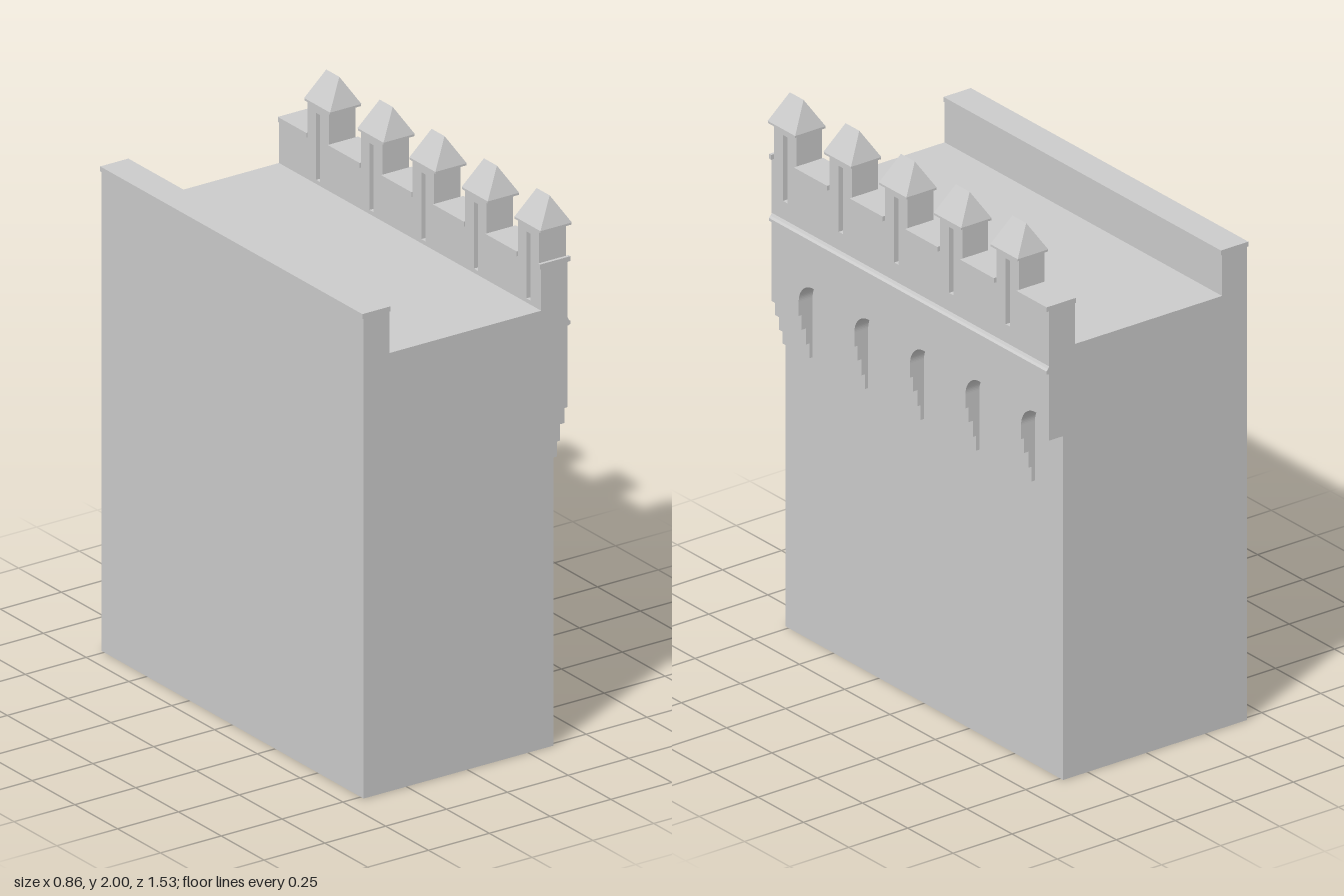
import * as THREE from 'three';

const HALF = 0.766;                                   // half length of the wall along z
const BODY_X = 0.354, FACE_X = 0.413, INNER_X = 0.304;
const merlons = [0.692, 0.384, 0.078, -0.225, -0.537]; // merlon centres in z
const MERLON_W = 0.125, CRENEL_Y = 1.757, MERLON_Y = 1.89;
// corbels as [high z, low z]; arches fill the spaces after each one
const corbels = [[HALF, 0.617], [0.46, 0.31], [0.155, 0.002], [-0.15, -0.304], [-0.458, -0.611]];

export function createModel() {
  const root = new THREE.Group();
  const stone = new THREE.MeshStandardMaterial({ color: 0xcccccc, flatShading: true });
  const thinStone = new THREE.MeshStandardMaterial({ color: 0xcccccc, flatShading: true, side: THREE.DoubleSide });

  const add = (name, geometry, material = stone) => {
    const mesh = new THREE.Mesh(geometry, material);
    mesh.name = name;
    root.add(mesh);
    return mesh;
  };
  const box = (name, x0, x1, y0, y1, z0, z1) =>
    add(name, new THREE.BoxGeometry(x1 - x0, y1 - y0, Math.abs(z1 - z0)))
      .position.set((x0 + x1) / 2, (y0 + y1) / 2, (z0 + z1) / 2);
  const polygon = (pts) => new THREE.Shape(pts.map(([x, y]) => new THREE.Vector2(x, y)));

  // Extrudes a shape drawn in (-z, y) from x0 to x1
  const slabAlongX = (shape, x0, x1) =>
    new THREE.ExtrudeGeometry(shape, { depth: x1 - x0, bevelEnabled: false, curveSegments: 20 })
      .rotateY(Math.PI / 2).translate(x0, 0, 0);

  // Hollow wall body: open underneath, walkway sunk behind the rear parapet
  const profile = [[-0.426, 0], [-0.426, 1.77], [-0.32, 1.77], [-0.32, 1.605], [BODY_X, 1.605], [BODY_X, 0]];
  const pos = [];
  for (let i = 0; i < profile.length - 1; i++) {
    const [ax, ay] = profile[i], [bx, by] = profile[i + 1];
    pos.push(ax, ay, HALF, bx, by, HALF, bx, by, -HALF, ax, ay, HALF, bx, by, -HALF, ax, ay, -HALF);
  }
  const shell = new THREE.BufferGeometry();
  shell.setAttribute('position', new THREE.Float32BufferAttribute(pos, 3));
  shell.computeVertexNormals();
  add('wallBody', shell, thinStone);
  for (const side of [1, -1]) {
    add('endWall', new THREE.ShapeGeometry(polygon(profile)), thinStone).position.z = side * HALF;
  }
  box('rearCoping', -0.431, -0.315, 1.757, 1.775, -HALF, HALF);

  // Adds the crenellated top edge, running from -z back to +z, and the arrow slits
  const battlementTop = (shape) => {
    shape.lineTo(HALF, CRENEL_Y);
    for (const z of [...merlons].reverse()) {
      const a = -z + MERLON_W / 2, b = -z - MERLON_W / 2;
      shape.lineTo(a, CRENEL_Y);
      shape.lineTo(a, MERLON_Y);
      shape.lineTo(b, MERLON_Y);
      shape.lineTo(b, CRENEL_Y);
    }
    shape.lineTo(-HALF, CRENEL_Y);
    shape.closePath();
    for (const z of merlons) {
      const s = -z, w = 0.012;
      shape.holes.push(polygon([[s - w, 1.62], [s - w, 1.865], [s + w, 1.865], [s + w, 1.62]]));
    }
    return shape;
  };

  // Overhanging outer face with round arches between the corbels
  const face = new THREE.Shape();
  face.moveTo(-HALF, 1.225);
  corbels.forEach(([, low], i) => {
    const start = -low, end = i < corbels.length - 1 ? -corbels[i + 1][0] : HALF;
    const r = (end - start) / 2;
    face.lineTo(start, 1.225);
    face.lineTo(start, 1.277);
    face.absarc(start + r, 1.277, r, Math.PI, 0, true);
    if (i < corbels.length - 1) face.lineTo(end, 1.225);
  });
  add('archedFace', slabAlongX(battlementTop(face), BODY_X, FACE_X));

  // Inner half of the parapet, standing on the walkway
  const inner = new THREE.Shape();
  inner.moveTo(-HALF, 1.605);
  inner.lineTo(HALF, 1.605);
  add('parapet', slabAlongX(battlementTop(inner), INNER_X, BODY_X));

  // Stepped corbels under the overhang
  const steps = [[1.055, 1.11, 0.368], [1.11, 1.17, 0.382], [1.17, 1.225, 0.4]];
  for (const [high, low] of corbels) {
    for (const [y0, y1, x] of steps) box('corbelStep', BODY_X, x, y0, y1, low, high);
  }

  // Coping in the gaps between merlons
  const edges = [HALF, ...merlons.flatMap((z) => [z + MERLON_W / 2, z - MERLON_W / 2]), -HALF];
  for (let i = 0; i < edges.length; i += 2) {
    box('crenelCoping', 0.299, 0.424, CRENEL_Y, 1.775, edges[i + 1], edges[i]);
  }

  // String course along the outer face
  const course = polygon([[0.41, 1.522], [0.425, 1.527], [0.425, 1.537], [0.418, 1.544], [FACE_X, 1.553], [0.41, 1.553]]);
  add('stringCourse', new THREE.ExtrudeGeometry(course, { depth: 2 * HALF, bevelEnabled: false }).translate(0, 0, -HALF));

  // Hipped merlon roofs: a box whose top is pinched to a ridge along z
  const roof = new THREE.BoxGeometry(0.129, 0.102, 0.152);
  const p = roof.attributes.position;
  for (let i = 0; i < p.count; i++) {
    if (p.getY(i) > 0) p.setXYZ(i, 0, p.getY(i), Math.sign(p.getZ(i)) * 0.038);
  }
  roof.computeVertexNormals();
  for (const z of merlons) {
    box('merlonEaves', 0.3, 0.428, MERLON_Y, 1.898, z - 0.075, z + 0.075);
    add('merlonRoof', roof).position.set(0.364, 1.949, z);
  }
  return root;
}
